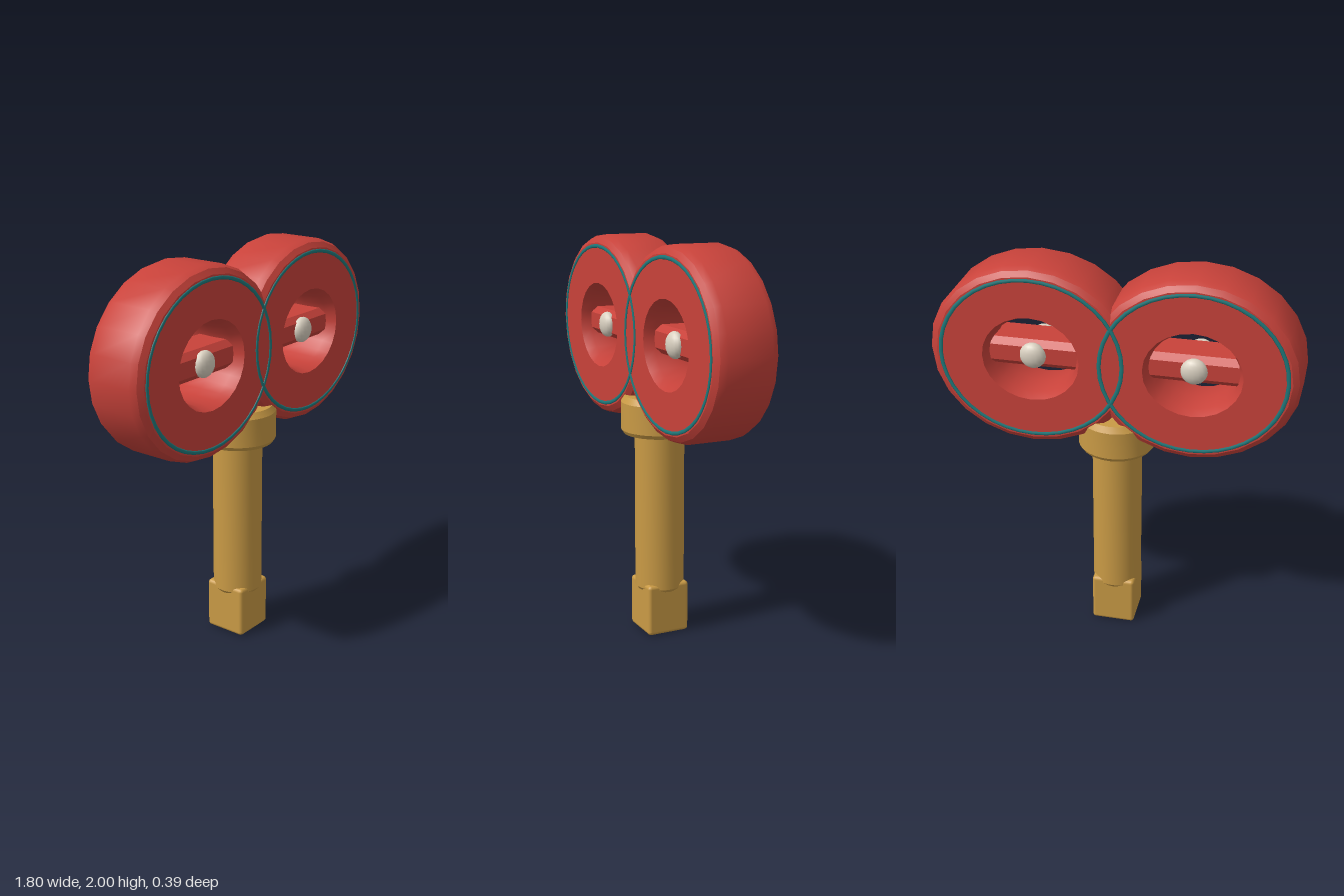
import * as THREE from 'three';
import { toCreasedNormals } from 'three/addons/utils/BufferGeometryUtils.js';
import { RoundedBoxGeometry } from 'three/addons/geometries/RoundedBoxGeometry.js';

const material = (name, color) => {
  const m = new THREE.MeshStandardMaterial({ color });
  m.name = name;
  return m;
};

// Turned solid around y from [radius, height] pairs, with crisp chamfers
const turned = (pairs, segments) => toCreasedNormals(
  new THREE.LatheGeometry(pairs.map(([r, y]) => new THREE.Vector2(r, y)), segments), 0.5);

export function createModel() {
  const red = material('red', 0xc8423a);
  const brass = material('brass', 0xc99a45);
  const teal = material('teal', 0x1f7a7c);
  const ivory = material('ivory', 0xd9d0c0);

  const model = new THREE.Group();
  model.name = 'windUpKey';
  const add = (parent, name, geometry, mat, x = 0, y = 0, z = 0) => {
    const mesh = new THREE.Mesh(geometry, mat);
    mesh.name = name;
    mesh.position.set(x, y, z);
    parent.add(mesh);
    return mesh;
  };

  // Shaft, collar and square drive end
  add(model, 'shaft', turned([[0, 0.22], [0.11, 0.22], [0.125, 0.24], [0.125, 1.06], [0, 1.06]], 32), brass);
  add(model, 'collar', turned([[0, 1.04], [0.18, 1.04], [0.193, 1.06], [0.193, 1.2],
    [0.175, 1.23], [0, 1.23]], 32), brass);
  add(model, 'squareEnd', new RoundedBoxGeometry(0.224, 0.265, 0.224, 2, 0.018), brass, 0, 0.1325, 0);

  // Shared geometry of the two oval loops
  const loopGeometry = turned([
    [0.215, -0.16], [0.42, -0.16], [0.446, -0.142], [0.46, -0.11], [0.46, 0.11], [0.446, 0.142],
    [0.42, 0.16], [0.215, 0.16], [0.196, 0.11], [0.19, 0], [0.196, -0.11], [0.215, -0.16],
  ], 24).rotateX(Math.PI / 2);
  const trimGeometry = new THREE.TorusGeometry(0.402, 0.009, 6, 40).scale(1, 1, 0.5);
  // Chamfered crossbar lying along x
  const c = 0.03, h = 0.07, d = 0.11;
  const section = new THREE.Shape([[d, -h + c], [d, h - c], [d - c, h], [c - d, h],
    [-d, h - c], [-d, c - h], [c - d, -h], [d - c, -h]].map(([a, b]) => new THREE.Vector2(a, b)));
  const barGeometry = new THREE.ExtrudeGeometry(section, { depth: 0.46, bevelEnabled: false })
    .translate(0, 0, -0.23).rotateY(Math.PI / 2);
  const knobGeometry = new THREE.SphereGeometry(0.065, 16, 10).scale(1, 1, 0.6);

  for (const side of [-1, 1]) {
    const loop = new THREE.Group();
    loop.name = side > 0 ? 'leftLoop' : 'rightLoop';
    loop.position.set(side * 0.39, 1.54, 0);
    model.add(loop);
    add(loop, 'loopBody', loopGeometry, red).scale.x = 1.108;
    add(loop, 'crossbar', barGeometry, red);
    // Trim ring and knob on both faces
    for (const face of [-1, 1]) {
      add(loop, 'trimRing', trimGeometry, teal, 0, 0, face * 0.16).scale.x = 1.108;
      add(loop, 'knob', knobGeometry, ivory, 0, 0, face * 0.11);
    }
  }
  return model;
}
